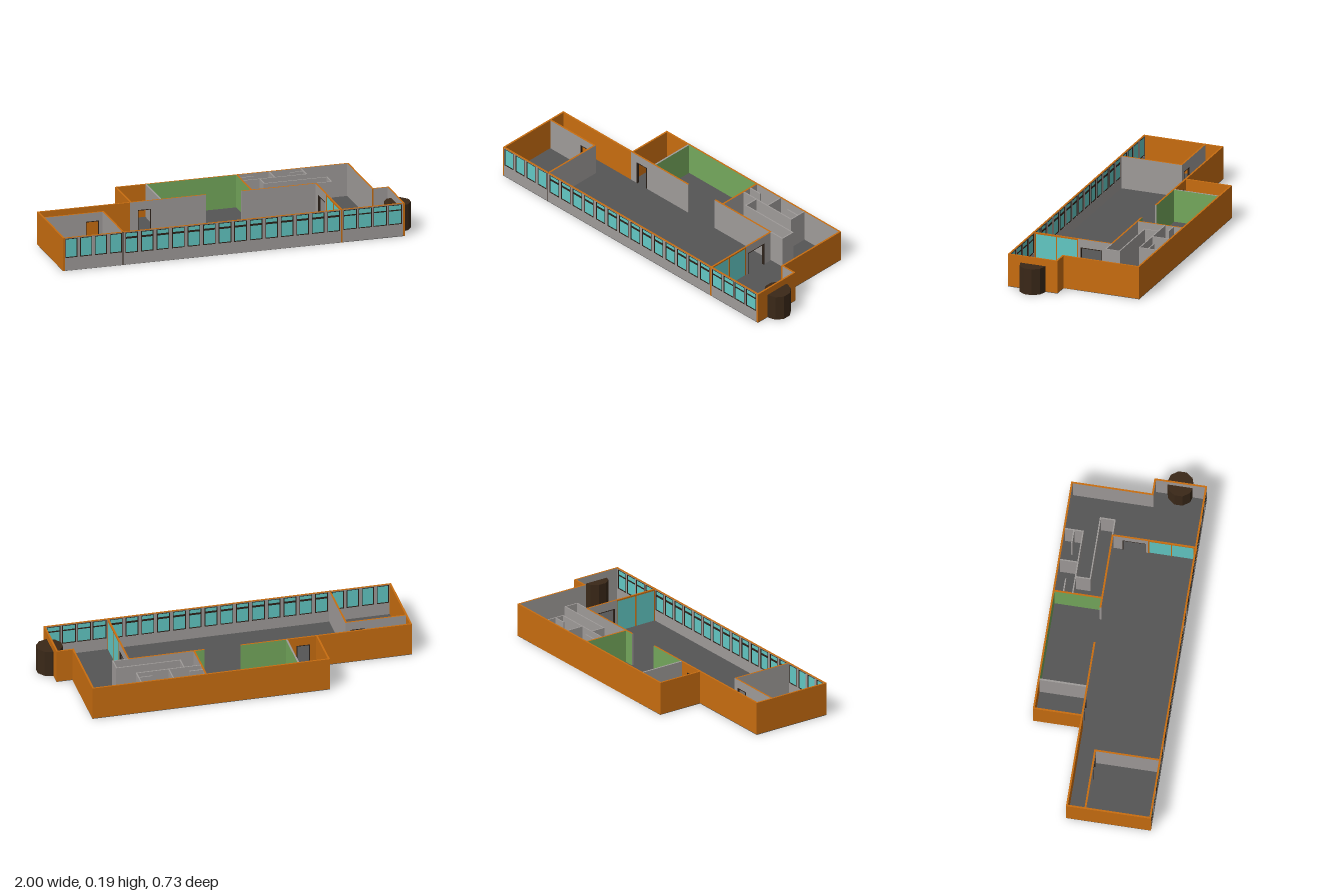
import * as THREE from 'three';

const H = 0.187, T = 0.01, DOOR_H = 0.14;
const mat = (color) => new THREE.MeshStandardMaterial({ color, flatShading: true });
const orange = mat(0xc86d10), grey = mat(0x9f9b99), green = mat(0x74a85c);
const teal = mat(0x62c8c4), dark = mat(0x2c2119), brown = mat(0x3a2818), slate = mat(0x555555);

export function createModel() {
  const model = new THREE.Group();
  model.name = 'officeFloor';

  // Box from min/max corners; material may be one or six (+x -x +y -y +z -z)
  function box(name, x0, x1, y0, y1, z0, z1, material, parent = model) {
    const m = new THREE.Mesh(new THREE.BoxGeometry(x1 - x0, y1 - y0, z1 - z0), material);
    m.position.set((x0 + x1) / 2, (y0 + y1) / 2, (z0 + z1) / 2);
    m.name = name;
    parent.add(m);
    return m;
  }
  // Face colours of a wall, grey unless given
  const faces = ({ px = grey, nx = grey, pz = grey, nz = grey, top = orange }) => [px, nx, top, slate, pz, nz];

  // Wall along x (at z) or along z (at x), with an optional framed doorway
  function wall(name, axis, at, a, b, opts = {}) {
    const t = (opts.t ?? T) / 2, m = faces(opts);
    const piece = (n, p, q, y0, y1, mm = m, e = 0) => axis === 'x'
      ? box(n, p, q, y0, y1, at - t - e, at + t + e, mm)
      : box(n, at - t - e, at + t + e, y0, y1, p, q, mm);
    if (!opts.door) return piece(name, a, b, 0, H);
    const [p, q] = opts.door, f = 0.004;
    piece(name, a, p, 0, H);
    if (q < b) piece(name, q, b, 0, H);
    piece(name + 'Lintel', p, q, DOOR_H, H);
    // Door frame
    piece('doorJamb', p, p + f, 0, DOOR_H, dark, 0.001);
    piece('doorJamb', q - f, q, 0, DOOR_H, dark, 0.001);
    piece('doorHead', p, q, DOOR_H - f, DOOR_H, dark, 0.001);
  }

  // Floor slab following the outer walls
  const outline = [[-1, 0.363], [0.926, 0.363], [0.926, 0.076], [0.838, 0.076], [0.838, -0.363],
    [-0.478, -0.363], [-0.478, -0.1], [-1, -0.1]];
  const shape = new THREE.Shape(outline.map(([x, z]) => new THREE.Vector2(x, -z)));
  const floorGeo = new THREE.ExtrudeGeometry(shape, { depth: 0.003, bevelEnabled: false });
  floorGeo.rotateX(-Math.PI / 2);
  const floor = new THREE.Mesh(floorGeo, slate);
  floor.name = 'floor';
  model.add(floor);

  // Outer walls
  const o = orange, out = { px: o, nx: o, pz: o, nz: o };
  wall('leftOuterWall', 'z', -0.995, -0.1, 0.363, out);
  wall('rearSideWall', 'x', -0.095, -1, -0.478, out);
  wall('rearBlockSideWall', 'z', -0.473, -0.363, -0.1, out);
  wall('backWall', 'x', -0.358, -0.478, -0.3, out);
  wall('backWall', 'x', -0.358, -0.3, 0.205, { ...out, pz: green });
  wall('backWall', 'x', -0.358, 0.205, 0.838, { ...out, pz: grey });
  wall('rightOuterWall', 'z', 0.833, -0.363, 0.086, { ...out, nx: grey });
  wall('entranceReturnWall', 'x', 0.081, 0.838, 0.926, { ...out, pz: grey });
  wall('entranceWall', 'z', 0.921, 0.076, 0.363, { ...out, nx: grey });

  // Green meeting room and the small room beside it
  wall('meetingRoomWall', 'z', -0.305, -0.353, -0.1, { px: green, top: grey });
  wall('meetingRoomWall', 'z', 0.207, -0.353, -0.1, { nx: green });
  wall('hallWall', 'x', -0.095, -0.478, -0.305, { nz: orange, door: [-0.435, -0.36] });
  wall('hallWall', 'x', -0.095, -0.305, -0.05, { nz: green });
  wall('hallWall', 'x', -0.095, 0.15, 0.207, { nz: green });
  wall('hallWall', 'x', -0.095, 0.207, 0.572);

  // Left office
  wall('officeWall', 'x', 0.005, -0.99, -0.66, { door: [-0.76, -0.685] });
  wall('officeWall', 'z', -0.66, 0, 0.353);

  // Lobby partition: doorway, then glass panes between posts
  wall('lobbyWall', 'z', 0.57, -0.09, 0.1, { door: [-0.04, 0.085] });
  box('lobbyGlass', 0.568, 0.572, 0.003, H - 0.008, 0.1, 0.352, teal);
  box('lobbyRail', 0.565, 0.575, H - 0.008, H, 0.1, 0.352, orange);
  for (const z of [0.102, 0.226, 0.349]) box('lobbyPost', 0.565, 0.575, 0, H, z - 0.003, z + 0.003, orange);

  // Washrooms and service corridor
  const plain = { top: grey, t: 0.007 };
  [
    ['washroomWall', 'x', -0.255, 0.21, 0.57],
    ['washroomWall', 'z', 0.567, -0.355, -0.255],
    ['washroomDivider', 'z', 0.388, -0.355, -0.255],
    ['stallPartition', 'x', -0.305, 0.21, 0.285],
    ['stallPartition', 'x', -0.305, 0.49, 0.565],
    ['corridorWall', 'z', 0.304, -0.255, -0.175],
    ['corridorWall', 'x', -0.175, 0.3, 0.66],
    ['corridorWall', 'z', 0.657, -0.175, -0.093],
    ['corridorWall', 'x', -0.096, 0.572, 0.66],
  ].forEach(([n, axis, at, a, b]) => wall(n, axis, at, a, b, plain));

  // Window front: one pierced wall, filled with glass and dark frames
  const windows = [];
  const addRow = (n, start, step, w, y0, y1, bar) => {
    for (let i = 0; i < n; i++) windows.push({ x0: start + i * step, x1: start + i * step + w, y0, y1, bar });
  };
  addRow(4, -0.987, 0.0835, 0.068, 0.073, 0.182);
  addRow(14, -0.648, 0.0875, 0.071, 0.066, 0.182, [0.147, 0.157]);
  addRow(4, 0.58, 0.0845, 0.076, 0.07, 0.182, [0.147, 0.153]);

  const rect = (C, x0, x1, y0, y1) => new C([[x0, y0], [x1, y0], [x1, y1], [x0, y1]].map((p) => new THREE.Vector2(...p)));
  const front = rect(THREE.Shape, -0.99, 0.916, 0, H - 0.002);
  for (const w of windows) front.holes.push(rect(THREE.Path, w.x0, w.x1, w.y0, w.y1));
  const frontWall = new THREE.Mesh(new THREE.ExtrudeGeometry(front, { depth: T, bevelEnabled: false }), grey);
  frontWall.position.z = 0.353;
  frontWall.name = 'frontWall';
  model.add(frontWall);
  box('frontWallCap', -0.99, 0.916, H - 0.002, H, 0.353, 0.363, orange);
  box('frontPost', 0.565, 0.575, 0, H, 0.352, 0.3635, orange);
  box('frontJoint', -0.664, -0.66, 0, H, 0.353, 0.3633, dark);

  for (const { x0, x1, y0, y1, bar } of windows) {
    const g = new THREE.Group(), f = 0.004, z0 = 0.3535, z1 = 0.3625;
    g.name = 'window';
    box('glass', x0, x1, y0, y1, 0.357, 0.359, teal, g);
    box('frameSide', x0, x0 + f, y0, y1, z0, z1, dark, g);
    box('frameSide', x1 - f, x1, y0, y1, z0, z1, dark, g);
    box('frameSill', x0, x1, y0, y0 + f, z0, z1, dark, g);
    box('frameHead', x0, x1, y1 - f, y1, z0, z1, dark, g);
    if (bar) box('transom', x0, x1, bar[0], bar[1], z0, z1, dark, g);
    model.add(g);
  }

  // Revolving entrance drum set into the lobby wall
  const drum = new THREE.Mesh(new THREE.CylinderGeometry(0.073, 0.073, 0.148, 10), brown);
  drum.position.set(0.93, 0.074, 0.217);
  drum.name = 'revolvingDoor';
  model.add(drum);

  return model;
}
